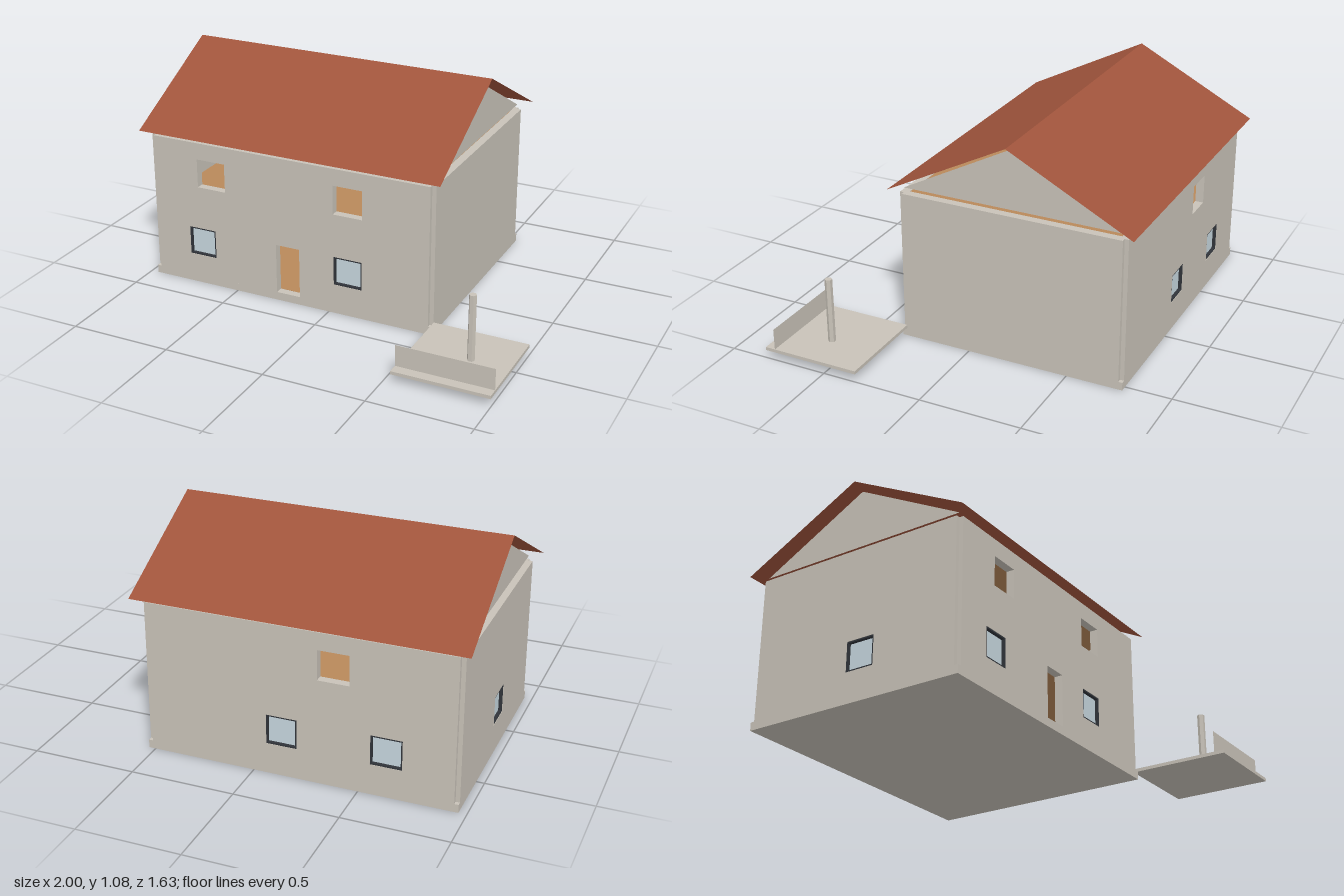
import * as THREE from 'three';

const mat = (name, color, side = THREE.FrontSide) => {
  const m = new THREE.MeshStandardMaterial({ color, side });
  m.name = name;
  return m;
};

export function createModel() {
  const house = new THREE.Group();
  house.name = 'house';

  const plaster = mat('plaster', 0xc8c2b8, THREE.DoubleSide);
  const tile = mat('roofTile', 0xa0543c, THREE.DoubleSide);
  const wood = mat('woodFloor', 0xb8885a);
  const glass = mat('glass', 0xc6d6de, THREE.DoubleSide);
  const frame = mat('windowFrame', 0x30343a);

  const add = (name, geometry, material, parent = house) => {
    const mesh = new THREE.Mesh(geometry, material);
    mesh.name = name;
    parent.add(mesh);
    return mesh;
  };
  // Box given by its minimum and maximum corners
  const box = (name, material, x0, x1, y0, y1, z0, z1, parent = house) => {
    const mesh = add(name, new THREE.BoxGeometry(x1 - x0, y1 - y0, z1 - z0), material, parent);
    mesh.position.set((x0 + x1) / 2, (y0 + y1) / 2, (z0 + z1) / 2);
    return mesh;
  };
  // Flat sheet through corner points, as a fan
  const sheet = (name, material, points) => {
    const g = new THREE.BufferGeometry().setFromPoints(points.map((p) => new THREE.Vector3(...p)));
    g.setIndex(points.length === 4 ? [0, 1, 2, 0, 2, 3] : [0, 1, 2]);
    const flat = g.toNonIndexed();
    flat.computeVertexNormals();
    return add(name, flat, material);
  };

  const T = 0.04; // wall thickness
  const LOW = 0.04, HIGH = 0.742; // wall bottom and top
  const X0 = -0.942, X1 = 0.513, Z0 = -0.755, Z1 = 0.335; // wall centre lines

  // Wall with openings [u0, u1, y0, y1, glazed]
  function wall(name, u0, u1, openings) {
    const group = new THREE.Group();
    group.name = name;
    const rect = (path, a, b, c, d) =>
      path.moveTo(a, c).lineTo(b, c).lineTo(b, d).lineTo(a, d).closePath();
    const shape = rect(new THREE.Shape(), u0, u1, LOW, HIGH);
    for (const [a, b, c, d, glazed] of openings) {
      shape.holes.push(rect(new THREE.Path(), a, b, c, d));
      if (!glazed) continue;
      const f = 0.007, h = T / 2 - 0.002;
      box('windowGlass', glass, a, b, c, d, -0.002, 0.002, group);
      box('frameBottom', frame, a, b, c, c + f, -h, h, group);
      box('frameTop', frame, a, b, d - f, d, -h, h, group);
      box('frameLeft', frame, a, a + f, c, d, -h, h, group);
      box('frameRight', frame, b - f, b, c, d, -h, h, group);
    }
    const g = new THREE.ExtrudeGeometry(shape, { depth: T, bevelEnabled: false });
    g.translate(0, 0, -T / 2);
    add('wallPanel', g, plaster, group);
    house.add(group);
    return group;
  }

  const G = [0.15, 0.295], U = [0.513, 0.658]; // sill and head heights per storey
  wall('frontWall', X0, X1, [
    [-0.76, -0.615, ...G, true],
    [0.027, 0.173, ...G, true],
    [-0.28, -0.155, LOW + 0.001, 0.293, false],
    [-0.703, -0.552, ...U, false],
    [0.025, 0.175, ...U, false],
  ]).position.z = Z1;
  wall('backWall', X0, X1, [
    [-0.21, -0.063, ...G, true],
    [-0.703, -0.555, ...G, true],
    [-0.457, -0.307, ...U, false],
  ]).position.z = Z0;
  const leftSide = wall('endWallWithWindow', Z0, Z1, [[-0.24, -0.093, ...G, true]]);
  const rightSide = wall('plainEndWall', Z0, Z1, []);
  leftSide.position.x = X0;
  rightSide.position.x = X1;
  leftSide.rotation.y = rightSide.rotation.y = -Math.PI / 2;

  // Base slab, wooden floors and an inner partition
  const h = T / 2;
  box('baseSlab', plaster, X0 - h, X1 + h, 0, LOW, Z0 - h, Z1 + h);
  box('groundFloor', wood, X0 + h, X1 - h, LOW, LOW + 0.002, Z0 + h, Z1 - h);
  box('upperFloor', wood, X0 + h, X1 - h, 0.38, 0.405, Z0 + h, Z1 - h);
  box('ceiling', wood, X0 + h, X1 - h, 0.732, 0.74, Z0 + h, Z1 - h);
  box('partition', plaster, -0.225, -0.21, LOW, 0.38, Z0 + h, -0.1);

  // Gables stand on the wall centre lines, just clear of the wall tops
  for (const x of [X0, X1]) {
    const ends = [[x, 0.766, Z1], [x, 0.766, Z0]];
    if (x < 0) ends.reverse();
    sheet('gable', plaster, [...ends, [x, 1.055, -0.212]]);
  }

  // Two thin roof slopes
  const R0 = -1, R1 = 0.573, ridge = [1.08, -0.215];
  sheet('frontRoof', tile, [[R0, 0.768, 0.39], [R1, 0.768, 0.39], [R1, ...ridge], [R0, ...ridge]]);
  sheet('backRoof', tile, [[R1, 0.768, -0.82], [R0, 0.768, -0.82], [R0, ...ridge], [R1, ...ridge]]);

  // Terrace with a thin parapet and a six-sided post
  box('terraceSlab', plaster, 0.533, 1, 0.04, 0.056, 0.332, 0.815);
  sheet('terraceParapet', plaster, [
    [0.533, 0.056, 0.765], [1, 0.056, 0.765], [1, 0.16, 0.765], [0.533, 0.16, 0.765],
  ]);
  const postShape = new THREE.CylinderGeometry(0.018, 0.018, 0.324, 6).rotateY(Math.PI / 6).toNonIndexed();
  postShape.computeVertexNormals();
  add('terracePost', postShape, plaster).position.set(0.813, 0.218, 0.573);

  return house;
}
